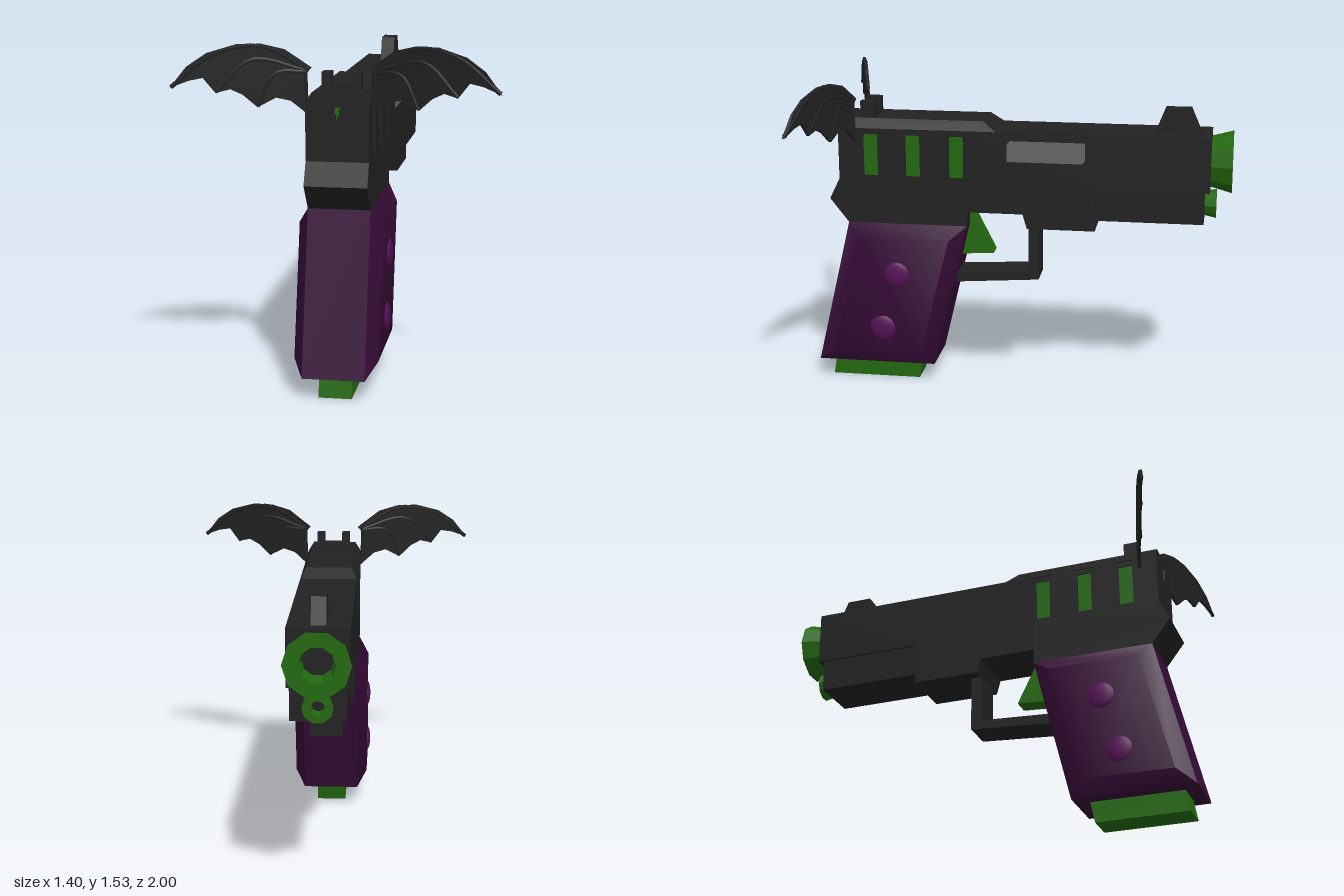
import * as THREE from 'three';
import { toCreasedNormals } from 'three/addons/utils/BufferGeometryUtils.js';

const mat = (name, color) => Object.assign(new THREE.MeshStandardMaterial({ color }), { name });

export function createModel() {
  const model = new THREE.Group();
  const black = mat('black', 0x222222);
  const green = mat('green', 0x23690f);
  const purple = mat('purple', 0x360b36);
  const violet = mat('violet', 0x551155);
  const grey = mat('grey', 0x666666);

  const add = (name, geo, material, x = 0, y = 0, z = 0, parent = model) => {
    const mesh = new THREE.Mesh(geo, material);
    mesh.name = name;
    mesh.position.set(x, y, z);
    parent.add(mesh);
    return mesh;
  };
  const box = (w, h, d) => new THREE.BoxGeometry(w, h, d);
  const rect = (z0, z1, y0, y1) => [[z0, y0], [z1, y0], [z1, y1], [z0, y1]];

  // Extrudes a side outline of [z, y] points across x, centred on x = 0
  const sideVectors = (pts) => pts.map(([z, y]) => new THREE.Vector2(-z, y));
  const side = (pts, width, holes = [], bevel = null) => {
    const shape = new THREE.Shape(sideVectors(pts));
    holes.forEach((h) => shape.holes.push(new THREE.Path(sideVectors(h))));
    const geo = new THREE.ExtrudeGeometry(shape, { depth: width, bevelEnabled: false, ...bevel });
    return geo.translate(0, 0, -width / 2).rotateY(Math.PI / 2);
  };

  // Slide and frame, pierced by three vents
  const vents = [0.715, 0.51, 0.3];
  const ventHole = (z, w, y0, y1) => rect(z + w / 2, z - w / 2, y0, y1);
  add('body', side([
    [0.87, 1.28], [0.87, 1.03], [0.92, 0.93], [0.83, 0.815], [0.25, 0.815], [0.25, 0.885],
    [-0.02, 0.885], [-0.04, 0.815], [-0.365, 0.815], [-0.365, 1.02], [-0.9, 1.02], [-0.9, 1.28],
  ], 0.274, vents.map((z) => ventHole(z, 0.1, 1.025, 1.275))), black);
  for (const z of vents) {
    add('ventFrame', side(ventHole(z, 0.1, 1.025, 1.275), 0.262, [ventHole(z, 0.068, 1.05, 1.25)]), black);
    add('ventPanel', box(0.25, 0.22, 0.08), green, 0, 1.15, z);
  }

  // Raised rear cover with chamfered sides and a sloping far end
  const cover = box(0.274, 0.045, 0.76);
  const p = cover.attributes.position;
  for (let i = 0; i < p.count; i++) {
    if (p.getY(i) < 0) continue;
    p.setX(i, p.getX(i) * 0.8);
    if (p.getZ(i) < 0) p.setZ(i, p.getZ(i) + 0.06);
  }
  cover.computeVertexNormals();
  add('rearCover', cover, black, 0, 1.3025, 0.49);

  // Rail under the barrel, ejection port and sights
  add('underRail', box(0.25, 0.16, 0.515), black, 0, 0.945, -0.6175);
  add('ejectionPort', side([[0.055, 1.14], [-0.3, 1.14], [-0.315, 1.155], [-0.315, 1.24], [0.04, 1.24], [0.055, 1.225]], 0.006), grey, 0.137);
  add('frontSight', side([[-0.635, 1.28], [-0.85, 1.28], [-0.8, 1.395], [-0.68, 1.395]], 0.066), black);
  add('rearSightBase', box(0.17, 0.03, 0.07), black, 0, 1.335, 0.735);
  for (const s of [-1, 1]) add('rearSightPost', box(0.04, 0.08, 0.07), black, s * 0.065, 1.36, 0.735);

  // Flared ten-sided muzzle rings
  const ring = (r0, r1, inner, len) => {
    const pts = [[r0, 0], [r1, len], [inner * 1.15, len], [inner, 0.004]].map(([r, y]) => new THREE.Vector2(r, y));
    const geo = new THREE.LatheGeometry(pts, 10, Math.PI / 2).toNonIndexed();
    geo.computeVertexNormals();
    return geo.rotateX(-Math.PI / 2);
  };
  add('muzzleRing', ring(0.121, 0.148, 0.07, 0.1), green, 0, 1.145, -0.9);
  add('lowerMuzzleRing', ring(0.058, 0.069, 0.028, 0.055), green, 0, 0.94, -0.875);

  // Pillowed grip with round studs, and magazine base
  const grip = side([[0.83, 0.815], [1, 0.1], [0.42, 0.1], [0.25, 0.815]], 0.274, [], {
    bevelEnabled: true, bevelThickness: 0.048, bevelSize: 0.075, bevelOffset: -0.075, bevelSegments: 1,
  });
  add('grip', toCreasedNormals(grip, 0.75), purple);
  for (const s of [-1, 1]) {
    for (const [z, y] of [[0.59, 0.57], [0.665, 0.295]]) {
      add('gripStud', new THREE.SphereGeometry(0.064, 16, 8), violet, s * 0.183, y, z).scale.x = 0.28;
    }
  }
  add('magazineBase', side([[0.93, 0.11], [0.95, 0], [0.51, 0], [0.488, 0.11]], 0.146), green);

  // Trigger and its guard
  add('trigger', side([[0.25, 0.885], [0.29, 0.65], [0.135, 0.66]], 0.09), green);
  add('triggerGuard', side([
    [-0.04, 0.82], [-0.04, 0.585], [0.32, 0.565], [0.33, 0.515], [-0.09, 0.545], [-0.09, 0.82],
  ], 0.16), black);

  // Small bolt on the rear face
  const bolt = new THREE.Shape([
    [-0.008, 1.265], [-0.012, 1.235], [-0.002, 1.235], [-0.004, 1.21], [0.013, 1.243], [0.006, 1.243], [0.015, 1.265],
  ].map(([x, y]) => new THREE.Vector2(x, y)));
  add('rearBolt', new THREE.ExtrudeGeometry(bolt, { depth: 0.004, bevelEnabled: false }), green, 0, 0, 0.869);

  // Swept wings: scalloped membrane with finger ribs
  const sweep = (x) => 0.785 + (x - 0.13) * 0.307;
  const outline = [
    [0.125, 1.42], [0.155, 1.385], [0.14, 1.22], [0.21, 1.28], [0.27, 1.295], [0.345, 1.255], [0.405, 1.31],
    [0.455, 1.335], [0.515, 1.32], [0.565, 1.385], [0.62, 1.375], [0.7, 1.345], [0.63, 1.435],
    [0.55, 1.49], [0.43, 1.525], [0.33, 1.525], [0.235, 1.5],
  ];
  const ribs = [
    [[0.15, 1.4], [0.148, 1.3], [0.14, 1.225]],
    [[0.15, 1.405], [0.27, 1.4], [0.345, 1.26]],
    [[0.15, 1.41], [0.37, 1.46], [0.515, 1.325]],
    [[0.15, 1.415], [0.33, 1.515], [0.52, 1.485], [0.695, 1.348]],
  ];
  for (const s of [1, -1]) {
    const wing = new THREE.Group();
    wing.name = s > 0 ? 'leftWing' : 'rightWing';
    const pts = outline.map(([x, y]) => new THREE.Vector2(s * x, y));
    const membrane = new THREE.ExtrudeGeometry(new THREE.Shape(pts), { depth: 0.012, bevelEnabled: false });
    const v = membrane.attributes.position;
    for (let i = 0; i < v.count; i++) v.setZ(i, v.getZ(i) - 0.006 + sweep(Math.abs(v.getX(i))));
    membrane.computeVertexNormals();
    add('membrane', membrane, black, 0, 0, 0, wing);
    for (const rib of ribs) {
      const curve = new THREE.CatmullRomCurve3(rib.map(([x, y]) => new THREE.Vector3(s * x, y, sweep(x))));
      add('fingerRib', new THREE.TubeGeometry(curve, 10, 0.01, 6), black, 0, 0, 0, wing);
    }
    model.add(wing);
  }
  return model;
}
